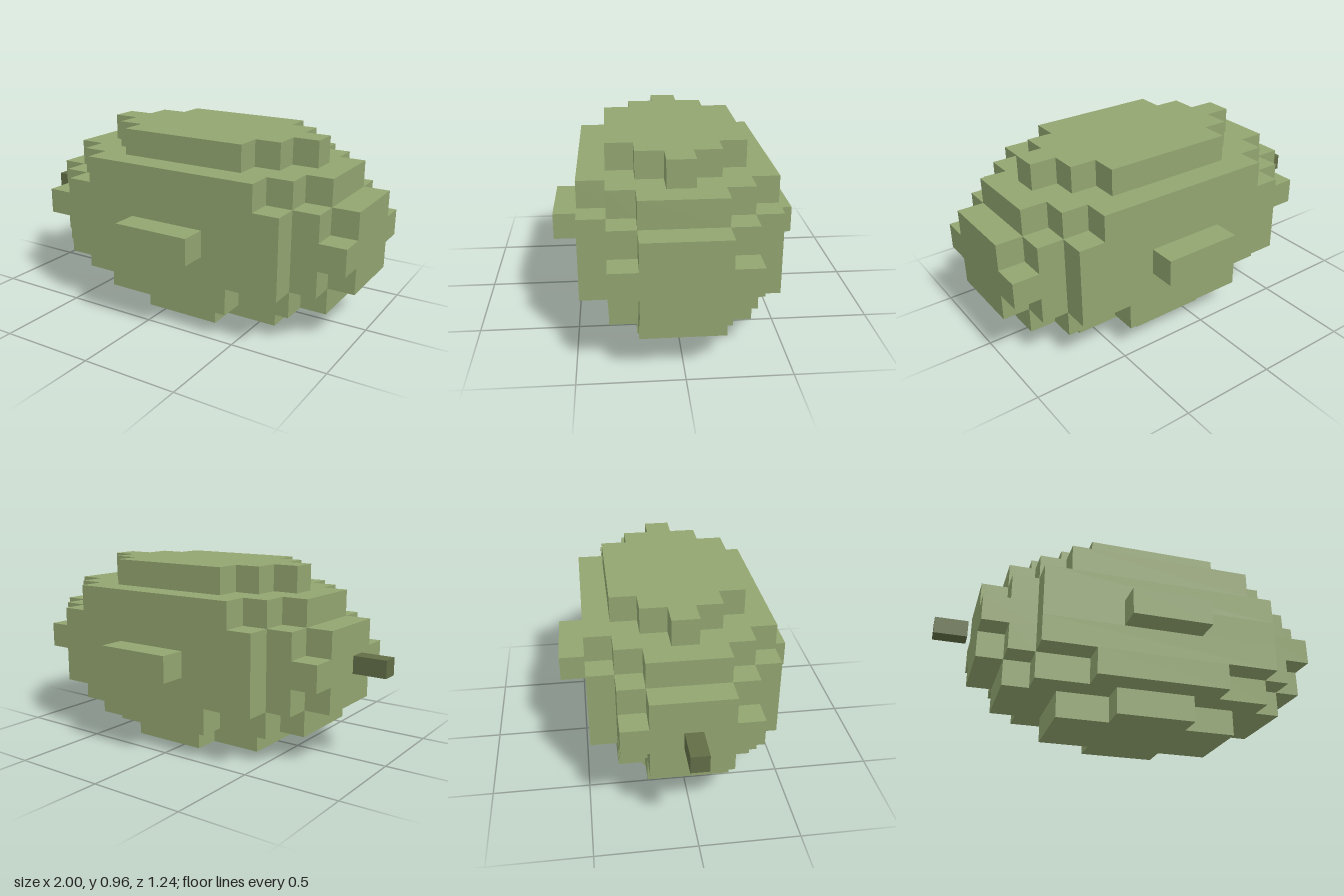
import * as THREE from 'three';

const CELL = 0.1377;      // edge of one block
const CENTRE_X = 0.105;   // the body sits off centre, leaving room for the stem

// Each layer, bottom to top: blocks in front of the centre line, from the middle column outwards
const LAYERS = [
  [2, 2, 1, 1],
  [3, 3, 3, 2, 2, 1],
  [3, 3, 3, 3, 3, 2, 1],
  [4, 4, 3, 3, 3, 2, 2],
  [3, 3, 3, 3, 3, 2, 1],
  [3, 3, 3, 3, 2, 1],
  [2, 2, 2, 1, 0],
];

// Stepped outline of a layer, mirrored left to right and front to back
function layerGeometry(depths) {
  const quarter = [];
  depths.forEach((d, i) => {
    if (d === depths[i + 1]) return;
    quarter.push([i + 0.5, d + 0.5]);
    if (i + 1 < depths.length) quarter.push([i + 0.5, depths[i + 1] + 0.5]);
  });
  const back = [...quarter].reverse();
  const outline = [
    ...quarter.map(([x, z]) => [x, -z]),
    ...back,
    ...quarter.map(([x, z]) => [-x, z]),
    ...back.map(([x, z]) => [-x, -z]),
  ].map(([x, z]) => new THREE.Vector2(x * CELL, z * CELL));
  const geometry = new THREE.ExtrudeGeometry(new THREE.Shape(outline), { depth: CELL, bevelEnabled: false });
  return geometry.rotateX(-Math.PI / 2);
}

export function createModel() {
  const model = new THREE.Group();
  model.name = 'blockMelon';
  const rind = new THREE.MeshStandardMaterial({ name: 'rind green', color: 0x92a570 });
  const dark = new THREE.MeshStandardMaterial({ name: 'stem green', color: 0x626e47 });

  // Body, stacked in layers
  const body = new THREE.Group();
  body.name = 'body';
  LAYERS.forEach((depths, j) => {
    const layer = new THREE.Mesh(layerGeometry(depths), rind);
    layer.name = `bodyLayer${j + 1}`;
    layer.position.set(CENTRE_X, j * CELL, 0);
    body.add(layer);
  });
  model.add(body);

  // Stem, floating just off the end
  const stem = new THREE.Mesh(new THREE.BoxGeometry(0.174, 0.09, 0.09), dark);
  stem.name = 'stem';
  stem.position.set(-0.913, 0.5, -0.003);
  model.add(stem);

  return model;
}
